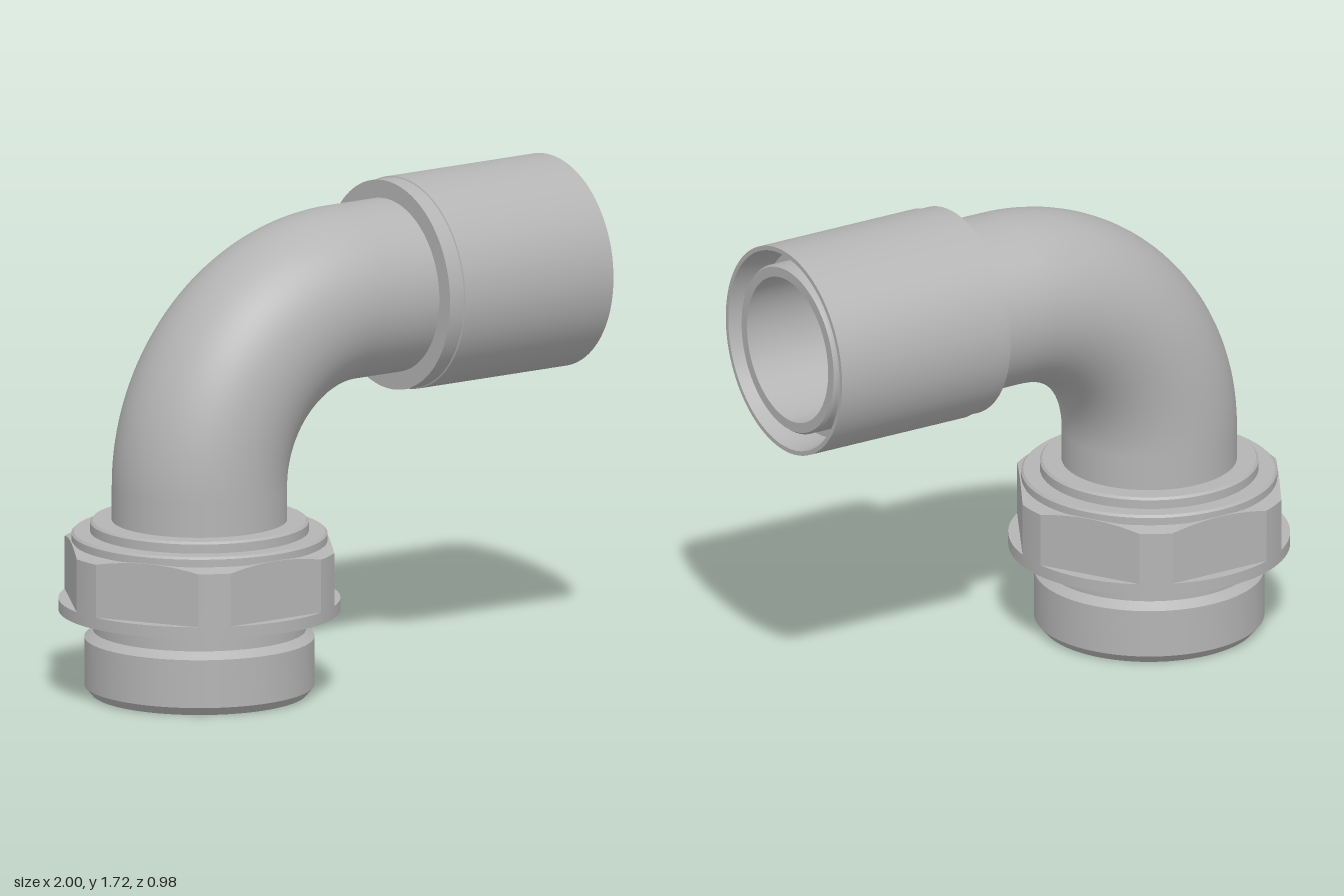
import * as THREE from 'three';
import { toCreasedNormals } from 'three/addons/utils/BufferGeometryUtils.js';

const AXIS_X = -0.51;   // vertical axis of the threaded end
const AXIS_Y = 1.345;   // height of the horizontal axis
const BEND_R = 0.61, BEND_X = 0.1, BEND_Y = 0.735;
const PIPE_R = 0.305, BORE_R = 0.26;
const CREASE = 0.35;

const metal = new THREE.MeshStandardMaterial({ color: 0xb4b4b4, side: THREE.DoubleSide });
metal.name = 'grey metal';

function part(name, geometry) {
  const mesh = new THREE.Mesh(geometry, metal);
  mesh.name = name;
  return mesh;
}

// Revolve [radius, height] pairs, keeping the profile corners sharp
function turned(profile) {
  const points = profile.map(([r, y]) => new THREE.Vector2(r, y));
  return toCreasedNormals(new THREE.LatheGeometry(points, 96), CREASE);
}

// Hexagon trimmed by a cylinder, with a conical chamfer on the top corners
function hexNut(flat, corner, y0, y1) {
  const half = Math.acos(flat / corner);
  const loop = [];
  for (let face = 0; face < 6; face++) {
    const mid = Math.PI / 2 + face * Math.PI / 3;
    for (let i = 0; i < 12; i++) {
      const d = -half + 2 * half * i / 12;
      loop.push([mid + d, flat / Math.cos(d)]);
    }
    for (let i = 0; i < 4; i++) {
      loop.push([mid + half + (Math.PI / 3 - 2 * half) * i / 4, corner]);
    }
  }
  const rows = [
    () => [0.36, y0],
    r => [r, y0],
    r => [r, y1 - (r - flat) * 0.5],
    () => [0.4, y1],
  ];
  const pos = [], index = [], n = loop.length;
  for (const row of rows) {
    for (const [a, r] of loop) {
      const [radius, y] = row(r);
      pos.push(radius * Math.cos(a), y, -radius * Math.sin(a));
    }
  }
  for (let j = 0; j < rows.length - 1; j++) {
    for (let i = 0; i < n; i++) {
      const a = j * n + i, b = j * n + (i + 1) % n;
      index.push(a, b, b + n, a, b + n, a + n);
    }
  }
  const geometry = new THREE.BufferGeometry();
  geometry.setAttribute('position', new THREE.Float32BufferAttribute(pos, 3));
  geometry.setIndex(index);
  return toCreasedNormals(geometry, CREASE);
}

// Straight, bent and straight lengths of one tube wall
function elbow(name, radius, startY, endX) {
  const group = new THREE.Group();
  group.name = name;
  const lower = part(name + 'Lower', new THREE.CylinderGeometry(radius, radius, BEND_Y - startY, 64, 1, true));
  lower.position.set(AXIS_X, (BEND_Y + startY) / 2, 0);
  const bend = part(name + 'Bend', new THREE.TorusGeometry(BEND_R, radius, 64, 48, Math.PI / 2).rotateZ(Math.PI / 2));
  bend.position.set(BEND_X, BEND_Y, 0);
  const upper = part(name + 'Upper', new THREE.CylinderGeometry(radius, radius, endX - BEND_X, 64, 1, true).rotateZ(Math.PI / 2));
  upper.position.set((BEND_X + endX) / 2, AXIS_Y, 0);
  group.add(lower, bend, upper);
  return group;
}

export function createModel() {
  const model = new THREE.Group();
  model.name = 'elbowFitting';

  // Bent pipe, outside and bore
  model.add(elbow('pipeWall', PIPE_R, 0.58, 0.32));
  model.add(elbow('pipeBore', BORE_R, 0.3, 0.9));

  // Threaded end: spigot with undercut and a tapering mouth
  const spigot = part('spigot', turned([
    [0.335, 0], [0.375, 0], [0.4, 0.03], [0.4, 0.2], [0.37, 0.225], [0.37, 0.32],
  ]));
  const mouth = part('spigotMouth', turned([[BORE_R, 0.3], [0.335, 0]]));

  // Nut with its washer flange and stepped top rings
  const flange = part('nutFlange', turned([[0.36, 0.295], [0.49, 0.295], [0.49, 0.337], [0.42, 0.337]]));
  const nut = part('hexNut', hexNut(0.45, 0.49, 0.33, 0.545));
  const rings = part('topRings', turned([
    [0.445, 0.54], [0.445, 0.567], [0.437, 0.575], [0.38, 0.575],
    [0.38, 0.607], [0.372, 0.615], [0.3, 0.615],
  ]));
  for (const mesh of [spigot, mouth, flange, nut, rings]) {
    mesh.position.x = AXIS_X;
    model.add(mesh);
  }

  // Sleeve over the horizontal end, with an annular groove around the pipe mouth
  const sleeve = part('sleeve', turned([
    [0.3, 0.3], [0.368, 0.3], [0.368, 0.36], [0.373, 0.362], [0.373, 1], [0.357, 1],
    [0.335, 0.87], [0.302, 0.87], [0.302, 0.975], [0.295, 0.985], [BORE_R, 0.985], [BORE_R, 0.88],
  ]).rotateZ(-Math.PI / 2));
  sleeve.position.y = AXIS_Y;
  model.add(sleeve);

  return model;
}
